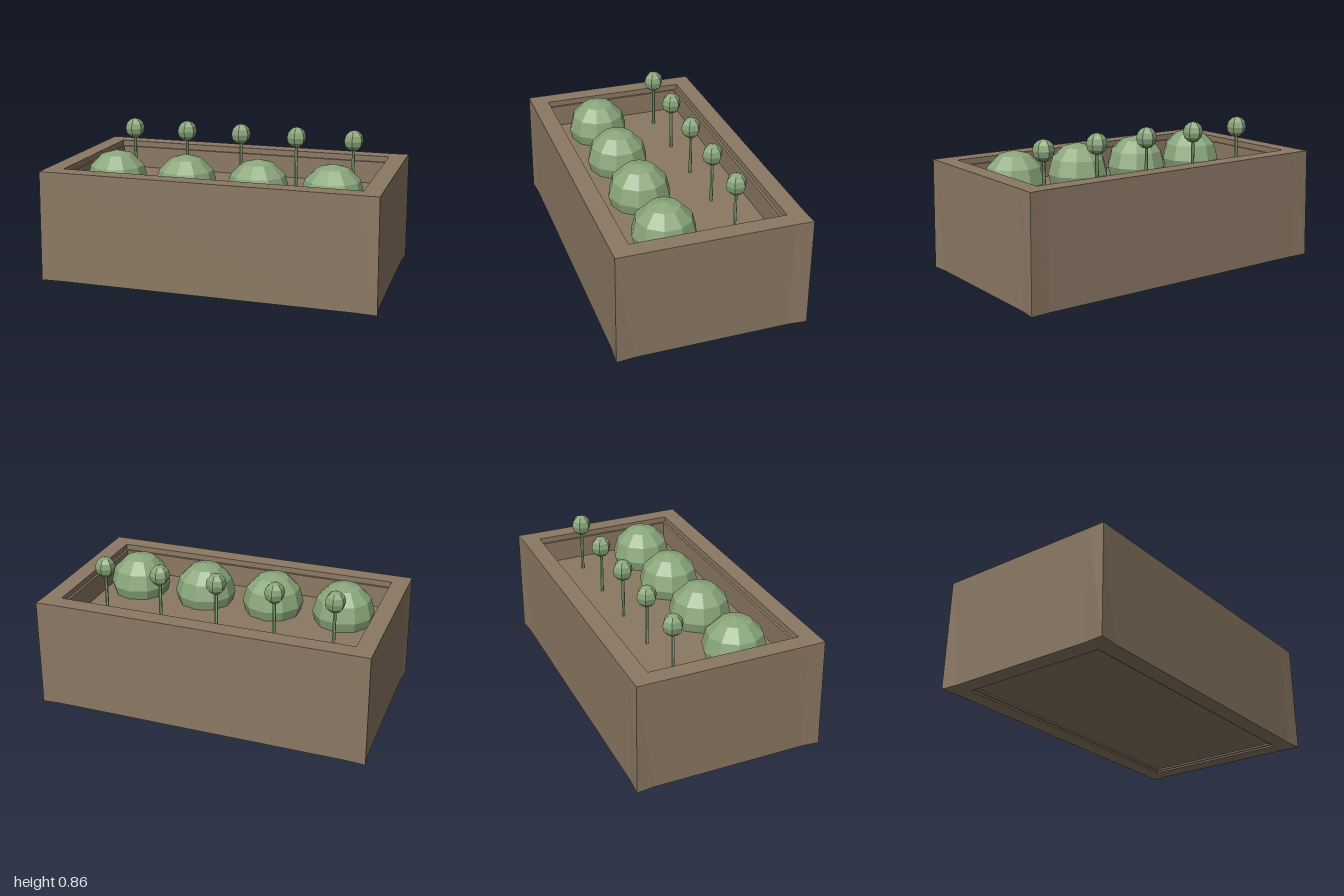
import * as THREE from 'three';

const wood = new THREE.MeshStandardMaterial({ color: 0x8b7863 });
wood.name = 'brown wood';
const leaf = new THREE.MeshStandardMaterial({ color: 0x8aa67b });
leaf.name = 'leaf green';

// Faceted copy of a geometry
function faceted(geometry) {
  const flat = geometry.index ? geometry.toNonIndexed() : geometry;
  flat.computeVertexNormals();
  return flat;
}

function addMesh(parent, name, geometry, material, x = 0, y = 0, z = 0) {
  const mesh = new THREE.Mesh(geometry, material);
  mesh.name = name;
  mesh.position.set(x, y, z);
  parent.add(mesh);
  return mesh;
}

// Rectangular frame standing from y0 to y1, with board joints along the outer sides
function frame(hx, hz, ix, iz, y0, y1) {
  const jx = 0.885, jz = 0.45;
  const outline = [
    [-hx, -hz], [-jx, -hz], [jx, -hz], [hx, -hz], [hx, -jz], [hx, jz],
    [hx, hz], [jx, hz], [-jx, hz], [-hx, hz], [-hx, jz], [-hx, -jz],
  ].map(([x, y]) => new THREE.Vector2(x, y));
  const shape = new THREE.Shape(outline);
  shape.holes.push(new THREE.Path([[-ix, -iz], [-ix, iz], [ix, iz], [ix, -iz]]
    .map(([x, y]) => new THREE.Vector2(x, y))));
  const geometry = new THREE.ExtrudeGeometry(shape, { depth: y1 - y0, bevelEnabled: false });
  geometry.rotateX(-Math.PI / 2);
  geometry.translate(0, y0, 0);
  return geometry;
}

export function createModel() {
  const model = new THREE.Group();
  model.name = 'planter';

  // Box walls, with the corners splayed a little at the foot
  const hx = 0.99, hz = 0.55;
  const walls = frame(hx, hz, 0.885, 0.445, 0, 0.66);
  const p = walls.attributes.position;
  for (let i = 0; i < p.count; i++) {
    const x = p.getX(i), y = p.getY(i), z = p.getZ(i);
    const corner = Math.abs(x) > hx - 0.01 && Math.abs(z) > hz - 0.01;
    if (!corner) continue;
    if (y < 0.01) p.setXYZ(i, Math.sign(x), y, Math.sign(z) * 0.558);
    else if (x > 0 && z < 0) p.setXYZ(i, 0.993, y, -0.556);
  }
  addMesh(model, 'boxWalls', faceted(walls), wood);

  // Inner lining, slightly below the rim and above the foot
  const lining = new THREE.Shape([[-0.888, -0.448], [0.888, -0.448], [0.888, 0.448], [-0.888, 0.448]]
    .map(([x, y]) => new THREE.Vector2(x, y)));
  lining.holes.push(new THREE.Path([[-0.872, -0.43], [-0.872, 0.43], [0.872, 0.43], [0.872, -0.43]]
    .map(([x, y]) => new THREE.Vector2(x, y))));
  const liningGeometry = new THREE.ExtrudeGeometry(lining, { depth: 0.615, bevelEnabled: false });
  liningGeometry.rotateX(-Math.PI / 2);
  addMesh(model, 'innerLining', liningGeometry, wood, 0, 0.01, 0);

  // Soil bed, whose underside closes the box
  addMesh(model, 'soilBed', new THREE.BoxGeometry(1.75, 0.47, 0.865), wood, 0, 0.255, 0);

  // Row of round bushes
  const bushGeometry = faceted(new THREE.SphereGeometry(0.185, 10, 6).rotateY(Math.PI / 2));
  for (let i = 0; i < 4; i++) {
    addMesh(model, 'bush', bushGeometry, leaf, -0.66 + i * 0.44, 0.55, 0.175);
  }

  // Row of small ball trees on thin stems
  const crownGeometry = faceted(new THREE.SphereGeometry(0.061, 6, 6).rotateY(Math.PI / 2).scale(1, 1.05, 1));
  const stemGeometry = faceted(new THREE.CylinderGeometry(0.01, 0.01, 0.29, 6));
  for (let i = 0; i < 5; i++) {
    const tree = new THREE.Group();
    tree.name = 'ballTree';
    tree.position.set(-0.704 + i * 0.352, 0, -0.22);
    addMesh(tree, 'stem', stemGeometry, leaf, 0, 0.615, 0);
    addMesh(tree, 'crown', crownGeometry, leaf, 0, 0.794, 0);
    model.add(tree);
  }

  return model;
}
